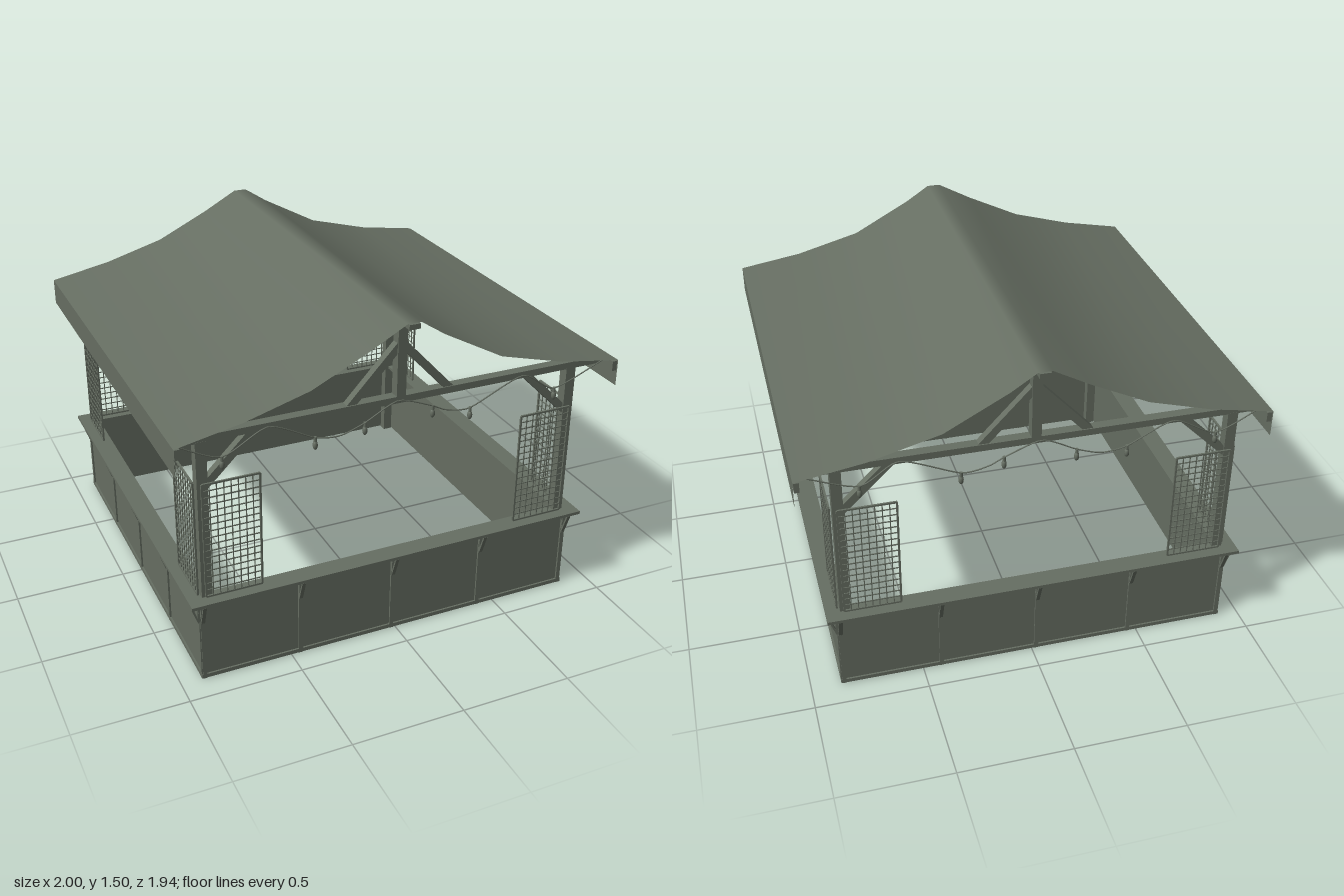
import * as THREE from 'three';

const mat = new THREE.MeshStandardMaterial({ color: 0x666e62 });
const clothMat = new THREE.MeshStandardMaterial({ color: 0x666e62, side: THREE.DoubleSide });

function add(parent, name, geometry, x = 0, y = 0, z = 0, material = mat) {
  const mesh = new THREE.Mesh(geometry, material);
  mesh.name = name;
  mesh.position.set(x, y, z);
  parent.add(mesh);
  return mesh;
}

const box = (parent, name, w, h, d, x, y, z) =>
  add(parent, name, new THREE.BoxGeometry(w, h, d), x, y, z);

// Square timber running between two points
function bar(parent, name, a, b, w, d = w) {
  const from = new THREE.Vector3(...a), to = new THREE.Vector3(...b);
  const mid = from.clone().add(to).multiplyScalar(0.5);
  const mesh = box(parent, name, w, from.distanceTo(to), d, mid.x, mid.y, mid.z);
  mesh.quaternion.setFromUnitVectors(new THREE.Vector3(0, 1, 0), to.sub(from).normalize());
  return mesh;
}

// Wire mesh screen standing on the counter
function screen(parent, x0, x1, y0, y1, z) {
  const g = new THREE.Group();
  g.name = 'wireScreen';
  const cols = 8, rows = 17, w = x1 - x0, h = y1 - y0;
  for (let i = 0; i <= cols; i++) {
    const t = i % cols ? 0.004 : 0.008;
    box(g, 'uprightWire', t, h, t, x0 + (w * i) / cols, (y0 + y1) / 2, z);
  }
  for (let j = 0; j <= rows; j++) {
    const t = j % rows ? 0.004 : 0.008;
    box(g, 'crossWire', w, t, t, (x0 + x1) / 2, y0 + (h * j) / rows, z);
  }
  parent.add(g);
}

// One of the four sides, facing +z: panelled wall, counter, brackets, screens
function createSide() {
  const side = new THREE.Group();
  side.name = 'counterSide';
  box(side, 'wallPanel', 1.75, 0.38, 0.012, 0, 0.195, 0.874);
  for (const y of [0.0125, 0.38]) box(side, 'wallRail', 1.776, 0.018, 0.018, 0, y, 0.879);
  for (let i = 0; i < 5; i++) {
    const x = (i - 2) * 0.437;
    box(side, 'wallStile', 0.018, 0.386, 0.018, x, 0.195, 0.879);
    bar(side, 'counterBracket', [x, 0.285, 0.888], [x, 0.385, 0.924], 0.016, 0.008);
    box(side, 'bracketBack', 0.016, 0.1, 0.006, x, 0.335, 0.89);
  }
  // mitred counter board
  const s = new THREE.Shape([[-0.93, 0.93], [-0.84, 0.84], [0.84, 0.84], [0.93, 0.93]]
    .map(([x, z]) => new THREE.Vector2(x, z)));
  const board = new THREE.ExtrudeGeometry(s, { depth: 0.014, bevelEnabled: false });
  board.rotateX(Math.PI / 2);
  add(side, 'counterTop', board, 0, 0.4, 0);
  screen(side, -0.85, -0.605, 0.404, 0.928, 0.878);
  screen(side, 0.605, 0.85, 0.404, 0.928, 0.878);
  return side;
}

// End truss with tie beam, king post, struts and knee braces
function createTruss(z) {
  const t = new THREE.Group();
  t.name = 'endTruss';
  box(t, 'tieBeam', 1.96, 0.03, 0.045, 0, 1.125, z);
  box(t, 'kingPost', 0.042, 0.35, 0.045, 0, 1.3, z);
  for (const s of [-1, 1]) {
    bar(t, 'strut', [s * 0.23, 1.13, z], [s * 0.01, 1.365, z], 0.034, 0.034);
    const px = -0.02 + s * 0.845;
    bar(t, 'kneeBrace', [px - s * 0.01, 0.91, z], [px - s * 0.225, 1.12, z], 0.034, 0.034);
  }
  return t;
}

// Sagging light string with hanging bulbs
function createLights(s) {
  const g = new THREE.Group();
  g.name = 'lightString';
  const z = s * 0.887;
  const spans = [[-0.98, -0.785, -0.59], [-0.59, -0.39, -0.28], [-0.28, -0.17, -0.02],
    [-0.02, 0.14, 0.2], [0.2, 0.32, 0.57], [0.57, 0.735, 0.98]];
  const endY = { '-0.28': 1.025, '0.2': 1.045 };
  const bulbY = [1.04, 1.04, 1.06, 1.075, 1.03, 1.04];
  const points = [];
  spans.forEach(([a, b], i) => {
    points.push(new THREE.Vector3(a, endY[a] ?? 1.13, z), new THREE.Vector3(b, bulbY[i], z));
    const bulb = new THREE.Group();
    bulb.name = 'bulb';
    bulb.position.set(b, bulbY[i], z);
    add(bulb, 'bulbSocket', new THREE.CylinderGeometry(0.007, 0.007, 0.022, 8), 0, -0.008, 0);
    const glass = new THREE.SphereGeometry(0.011, 10, 8);
    glass.scale(1, 1.9, 1);
    add(bulb, 'bulbGlass', glass, 0, -0.034, 0);
    g.add(bulb);
  });
  points.push(new THREE.Vector3(0.98, 1.13, z));
  const curve = new THREE.CatmullRomCurve3(points, false, 'catmullrom', 0.35);
  add(g, 'lightCable', new THREE.TubeGeometry(curve, 80, 0.003, 5));
  return g;
}

// Draped cloth roof swept along z, with a hanging strip at each eave
function createRoof() {
  const g = new THREE.Group();
  g.name = 'roof';
  const profile = [[-1, 1.155], [-0.72, 1.21], [-0.44, 1.29], [-0.19, 1.41], [-0.03, 1.497],
    [0.03, 1.497], [0.14, 1.425], [0.41, 1.28], [0.71, 1.2], [1, 1.155]];
  const cloth = new THREE.PlaneGeometry(1, 1.924, profile.length - 1, 1);
  cloth.rotateX(-Math.PI / 2);
  const p = cloth.attributes.position;
  for (let i = 0; i < p.count; i++) {
    const [x, y] = profile[i % profile.length];
    p.setXYZ(i, x, y, p.getZ(i));
  }
  cloth.computeVertexNormals();
  add(g, 'roofCloth', cloth, 0, 0, 0, clothMat);
  for (const s of [-1, 1]) {
    const strip = new THREE.PlaneGeometry(1.924, 0.12);
    strip.rotateY((s * Math.PI) / 2);
    add(g, 'eaveStrip', strip, s, 1.095, 0, clothMat);
    box(g, 'eaveBeam', 0.022, 0.045, 1.92, s * 0.986, 1.128, 0);
  }
  box(g, 'ridgeBeam', 0.05, 0.022, 1.936, 0, 1.483, 0);
  return g;
}

export function createModel() {
  const model = new THREE.Group();
  model.name = 'marketStall';

  const base = new THREE.Group();
  base.name = 'base';
  base.position.x = -0.02;
  for (let i = 0; i < 4; i++) {
    const side = createSide();
    side.rotation.y = (i * Math.PI) / 2;
    base.add(side);
  }
  // corner posts and the plates joining them along the sides
  for (const x of [-0.845, 0.845]) {
    for (const z of [-0.85, 0.85]) box(base, 'cornerPost', 0.046, 1.115, 0.046, x, 0.5575, z);
    box(base, 'sidePlate', 0.045, 0.03, 1.7, x, 1.125, 0);
  }
  model.add(base);

  for (const s of [-1, 1]) model.add(createTruss(s * 0.85), createLights(s));
  model.add(createRoof());
  return model;
}
